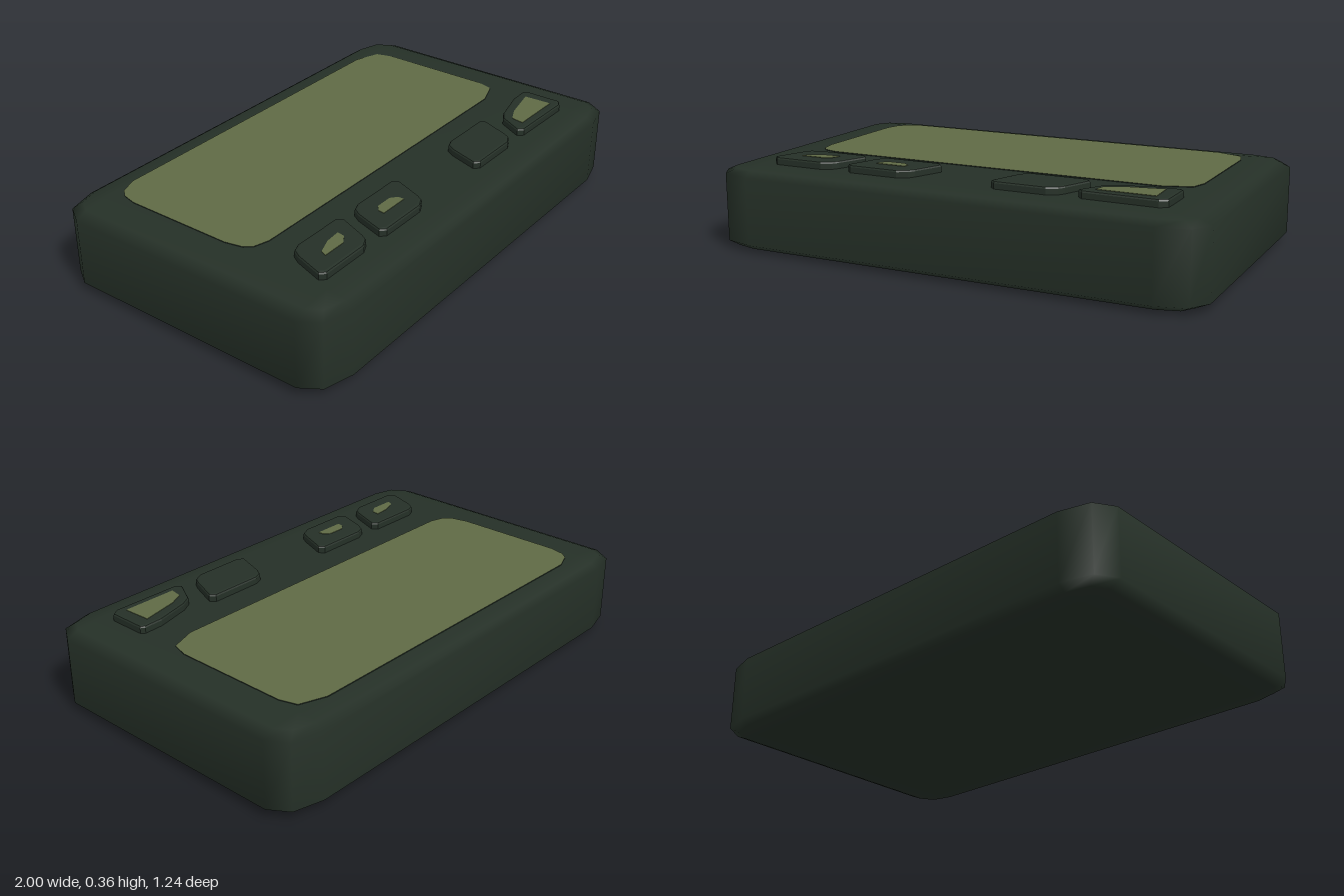
import * as THREE from 'three';
import { mergeVertices } from 'three/addons/utils/BufferGeometryUtils.js';

// Soft-cornered case: rings of 12 points, rounded by a stretched quarter ellipse
function caseGeometry() {
  const [hx, hz, rx, rz, ry, height] = [1, 0.62, 0.17, 0.11, 0.03, 0.33];
  const pos = [], index = [];
  const levels = [-90, -45, 0, 0, 45, 90];
  levels.forEach((deg, k) => {
    const phi = THREE.MathUtils.degToRad(deg), s = Math.cos(phi);
    const y = (k < 3 ? ry : height - ry) + ry * Math.sin(phi);
    for (let c = 0; c < 4; c++) {
      const sx = c === 0 || c === 3 ? 1 : -1, sz = c < 2 ? 1 : -1;
      for (let j = 0; j < 3; j++) {
        const a = (c + j / 2) * Math.PI / 2;
        pos.push(sx * (hx - rx) + rx * s * Math.cos(a), y, sz * (hz - rz) + rz * s * Math.sin(a));
      }
    }
  });
  for (let k = 0; k < levels.length - 1; k++) {
    for (let i = 0; i < 12; i++) {
      const a = k * 12 + i, b = k * 12 + (i + 1) % 12;
      index.push(a, a + 12, b, b, a + 12, b + 12);
    }
  }
  // Flat underside and top between the corner points
  index.push(0, 3, 6, 0, 6, 9);
  index.push(60, 66, 63, 60, 69, 66);
  const g = new THREE.BufferGeometry();
  g.setAttribute('position', new THREE.Float32BufferAttribute(pos, 3));
  g.setIndex(index);
  const welded = mergeVertices(g, 1e-4);
  welded.computeVertexNormals();
  return welded;
}

// Plate lying flat, outlined by [x, z] points
function plate(name, points, bottom, top, materials, bevel = 0) {
  const shape = new THREE.Shape(points.map(([x, z]) => new THREE.Vector2(x, -z)));
  const g = new THREE.ExtrudeGeometry(shape, {
    depth: top - bottom - bevel * 2,
    bevelEnabled: bevel > 0,
    bevelThickness: bevel,
    bevelSize: bevel * 1.4,
    bevelOffset: -bevel * 1.4,
    bevelSegments: 2,
  });
  g.rotateX(-Math.PI / 2).translate(0, bottom + bevel, 0);
  const mesh = new THREE.Mesh(g, materials);
  mesh.name = name;
  return mesh;
}

export function createModel() {
  const casing = new THREE.MeshStandardMaterial({ color: 0x253027 });
  casing.name = 'dark green casing';
  const display = new THREE.MeshStandardMaterial({ color: 0x5f6a45 });
  display.name = 'olive display';

  const model = new THREE.Group();
  model.name = 'pager';

  const body = new THREE.Mesh(caseGeometry(), casing);
  body.name = 'case';
  model.add(body);

  // Display window with a dark rim
  model.add(plate('screen', [
    [-0.72, 0.168], [-0.78, 0.15], [-0.805, 0.12], [-0.82, 0.05],
    [-0.82, -0.4], [-0.805, -0.46], [-0.78, -0.49], [-0.71, -0.517],
    [0.7, -0.517], [0.805, -0.48], [0.825, -0.41],
    [0.825, 0.06], [0.805, 0.13], [0.7, 0.168],
  ], 0.327, 0.333, [display, casing]));

  // Slanted buttons
  const slanted = [
    [-0.805, 0.455], [-0.785, 0.475], [-0.58, 0.475], [-0.54, 0.455], [-0.525, 0.43],
    [-0.478, 0.31], [-0.495, 0.288], [-0.71, 0.288], [-0.745, 0.302], [-0.765, 0.335],
  ];
  [['outerLeftButton', 0], ['innerLeftButton', 0.34], ['innerRightButton', 0.955]].forEach(([name, dx]) => {
    model.add(plate(name, slanted.map(([x, z]) => [x + dx, z]), 0.315, 0.36, casing, 0.008));
  });

  // Wedge-shaped end button
  model.add(plate('wedgeButton', [
    [0.49, 0.45], [0.51, 0.47], [0.795, 0.475], [0.825, 0.455], [0.825, 0.3], [0.81, 0.288],
    [0.73, 0.29], [0.59, 0.325], [0.545, 0.35],
  ], 0.315, 0.36, casing, 0.008));

  // Painted button marks
  const marks = {
    outerMark: [[-0.71, 0.41], [-0.7, 0.385], [-0.635, 0.36], [-0.57, 0.354], [-0.575, 0.385], [-0.61, 0.41]],
    innerMark: [[-0.368, 0.406], [-0.365, 0.38], [-0.34, 0.36], [-0.27, 0.36], [-0.245, 0.38], [-0.243, 0.406]],
    wedgeMark: [[0.55, 0.438], [0.56, 0.385], [0.62, 0.357], [0.77, 0.325], [0.775, 0.44]],
  };
  for (const [name, points] of Object.entries(marks)) {
    model.add(plate(name, points, 0.357, 0.362, display));
  }
  return model;
}
